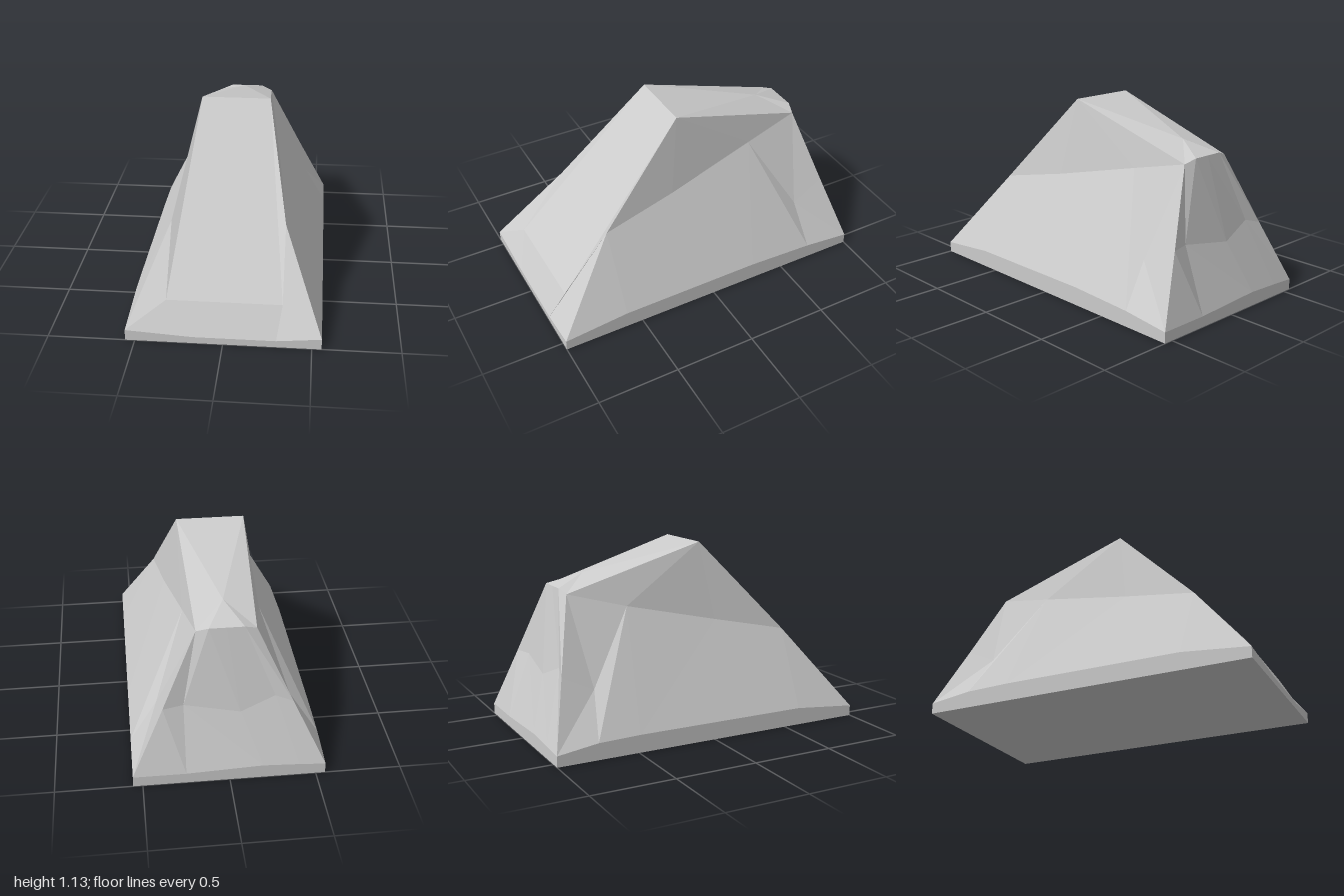
import * as THREE from 'three';

// Each station runs up the wall: [lip point, waist point, crown point].
// Stations go round from the front +x corner, along +x, the back, -x and the front.
const STATIONS = [
  // +x flank
  [[0.555, 0.065, 1], [0.33, 0.57, 0.61], [0.205, 1.135, 0.08]],
  [[0.555, 0.105, 0.6], [0.285, 0.665, 0.15], [0.205, 1.135, 0.08]],
  [[0.555, 0.112, -0.28], [0.215, 0.8, -0.42], [0.17, 0.88, -0.77]],
  [[0.555, 0.095, -0.7], [0.395, 0.35, -0.68], [0.17, 0.88, -0.77]],
  // hollowed back
  [[0.555, 0.065, -1], [0.37, 0.45, -0.89], [0.17, 0.88, -0.77]],
  [[0.25, 0.065, -1], [0.25, 0.45, -0.86], [0.1, 0.905, -0.79]],
  [[-0.19, 0.085, -1], [-0.07, 0.4, -0.89], [0, 0.905, -0.79]],
  [[-0.4, 0.075, -1], [-0.27, 0.48, -0.865], [-0.1, 0.905, -0.79]],
  // -x flank
  [[-0.555, 0.065, -1], [-0.37, 0.45, -0.89], [-0.17, 0.88, -0.77]],
  [[-0.555, 0.1, -0.75], [-0.385, 0.36, -0.7], [-0.17, 0.88, -0.77]],
  [[-0.555, 0.107, -0.49], [-0.235, 0.79, -0.42], [-0.17, 0.88, -0.77]],
  [[-0.555, 0.105, 0.6], [-0.285, 0.665, 0.15], [-0.205, 1.135, 0.08]],
  [[-0.555, 0.065, 1], [-0.33, 0.57, 0.61], [-0.205, 1.135, 0.08]],
  // sloping front
  [[-0.17, 0.04, 1], [-0.33, 0.215, 0.9], [-0.205, 1.135, 0.08]],
  [[0.3, 0.04, 1], [0.33, 0.215, 0.9], [0.205, 1.135, 0.08]],
];

const same = (p, q) => p.every((v, i) => v === q[i]);

// Adds a triangle unless two of its corners coincide
function addTriangle(out, a, b, c) {
  if (!same(a, b) && !same(b, c) && !same(c, a)) out.push(...a, ...b, ...c);
}

// Joins two rings; the split direction flips halfway so both flanks mirror
function addBand(out, lower, upper) {
  const n = lower.length;
  for (let i = 0; i < n; i++) {
    const j = (i + 1) % n;
    const [a, b, c, d] = [lower[i], lower[j], upper[j], upper[i]];
    if (i < n / 2) {
      addTriangle(out, a, b, d);
      addTriangle(out, b, c, d);
    } else {
      addTriangle(out, a, b, c);
      addTriangle(out, a, c, d);
    }
  }
}

// Closes a ring with a fan around a centre point
function addCap(out, ring, centre, facesUp) {
  ring.forEach((p, i) => {
    const q = ring[(i + 1) % ring.length];
    if (facesUp) addTriangle(out, p, q, centre);
    else addTriangle(out, q, p, centre);
  });
}

function makeMesh(name, positions, material) {
  const geometry = new THREE.BufferGeometry();
  geometry.setAttribute('position', new THREE.Float32BufferAttribute(positions, 3));
  geometry.computeVertexNormals();
  const mesh = new THREE.Mesh(geometry, material);
  mesh.name = name;
  return mesh;
}

export function createModel() {
  const group = new THREE.Group();
  group.name = 'facetedBlock';
  const material = new THREE.MeshStandardMaterial({ color: 0xcccccc, flatShading: true });
  const [lip, waist, crown] = [0, 1, 2].map((k) => STATIONS.map((s) => s[k]));
  const foot = lip.map(([x, , z]) => [x, 0, z]);

  // Low upright plinth with a flat underside
  const plinth = [];
  addCap(plinth, foot, [0, 0, 0], false);
  addBand(plinth, foot, lip);
  group.add(makeMesh('plinth', plinth, material));

  // Tapering faceted body with a slightly peaked, sloping top
  const body = [];
  addBand(body, lip, waist);
  addBand(body, waist, crown);
  addCap(body, crown, [0, 0.97, -0.6], true);
  group.add(makeMesh('body', body, material));

  return group;
}
